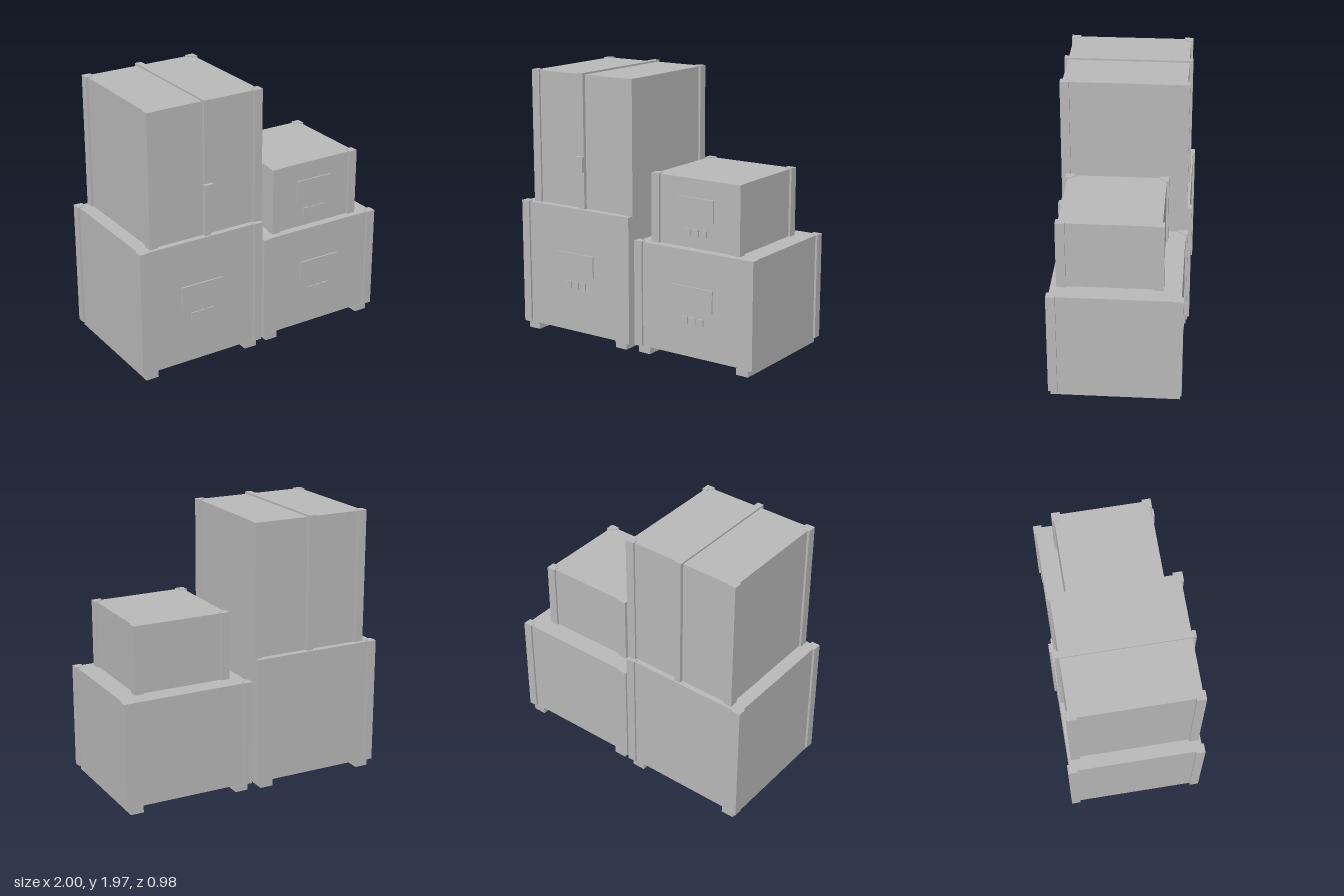
import * as THREE from 'three';

const metal = new THREE.MeshStandardMaterial({ color: 0xb8b8b8, side: THREE.DoubleSide });
metal.name = 'plainGrey';

const POST = 0.065;  // length of each arm of a corner post
const ARM = 0.042;   // thickness of each arm
const LIP = 0.016;   // how far the posts stand out from the walls

// Box given by its limits; hollow ones have no underside
function box(name, x0, x1, y0, y1, z0, z1, hollow = false) {
  const g = new THREE.BoxGeometry(x1 - x0, y1 - y0, z1 - z0);
  if (hollow) {
    const index = Array.from(g.index.array);
    index.splice(18, 6);
    g.setIndex(index);
    g.clearGroups();
  }
  g.translate((x0 + x1) / 2, (y0 + y1) / 2, (z0 + z1) / 2);
  const m = new THREE.Mesh(g, metal);
  m.name = name;
  return m;
}

// L-shaped upright whose outer corner lies at (x, z); sx, sz point outwards
function cornerPost(x, z, sx, sz, y0, y1) {
  const pts = [[0, 0], [POST, 0], [POST, ARM], [ARM, ARM], [ARM, POST], [0, POST]]
    .map(([a, b]) => new THREE.Vector2(x - sx * a, -(z - sz * b)));
  const g = new THREE.ExtrudeGeometry(new THREE.Shape(pts), { depth: y1 - y0, bevelEnabled: false });
  g.rotateX(-Math.PI / 2).translate(0, y0, 0);
  const m = new THREE.Mesh(g, metal);
  m.name = 'cornerPost';
  return m;
}

// Crate: hollow body with four corner posts
function crate(name, x0, x1, y0, y1, z0, z1) {
  const group = new THREE.Group();
  group.name = name;
  group.add(box('crateBody', x0 + LIP, x1 - LIP, y0, y1 - 0.005, z0 + LIP, z1 - LIP, true));
  for (const sx of [-1, 1]) for (const sz of [-1, 1]) {
    group.add(cornerPost(sx < 0 ? x0 : x1, sz < 0 ? z0 : z1, sx, sz, y0, y1));
  }
  return group;
}

// Display plate with a row of three buttons below it
function controls(group, z, plate, buttonX, buttonY) {
  const [x0, x1, y0, y1] = plate;
  group.add(box('displayPlate', x0, x1, y0, y1, z, z + 0.012));
  for (let i = 0; i < 3; i++) {
    const x = buttonX + i * 0.065;
    group.add(box('button', x, x + 0.05, buttonY, buttonY + 0.05, z, z + 0.01));
  }
}

// Pair of runners, open underneath
function runners(group, starts, half) {
  for (const x of starts) group.add(box('runner', x, x + 0.097, 0, 0.05, -half, half, true));
}

export function createModel() {
  const root = new THREE.Group();
  root.name = 'crateStack';

  const lowerLeft = crate('largeCrate', -1, -0.018, 0.05, 0.985, -0.49, 0.49);
  controls(lowerLeft, 0.474, [-0.675, -0.345, 0.485, 0.645], -0.6, 0.38);
  runners(lowerLeft, [-0.967, -0.15], 0.475);

  const lowerRight = crate('mediumCrate', 0.015, 1, 0.05, 0.823, -0.467, 0.467);
  controls(lowerRight, 0.451, [0.34, 0.67, 0.4, 0.56], 0.415, 0.29);
  runners(lowerRight, [0.045, 0.867], 0.455);

  const small = crate('smallCrate', 0.125, 0.857, 0.82, 1.315, -0.327, 0.408);
  controls(small, 0.392, [0.34, 0.635, 1.013, 1.178], 0.4, 0.907);

  // Tall crate with a strap and buckle
  const tall = crate('tallCrate', -0.905, -0.005, 0.985, 1.962, -0.456, 0.456);
  const s0 = -0.477, s1 = -0.428;
  tall.add(
    box('strapFront', s0, s1, 0.985, 1.97, 0.43, 0.467),
    box('strapBack', s0, s1, 0.985, 1.97, -0.467, -0.43),
    box('strapTop', s0, s1, 1.94, 1.97, -0.43, 0.43),
    box('buckle', -0.487, -0.422, 1.26, 1.372, 0.46, 0.494),
  );

  root.add(lowerLeft, lowerRight, small, tall);
  return root;
}
